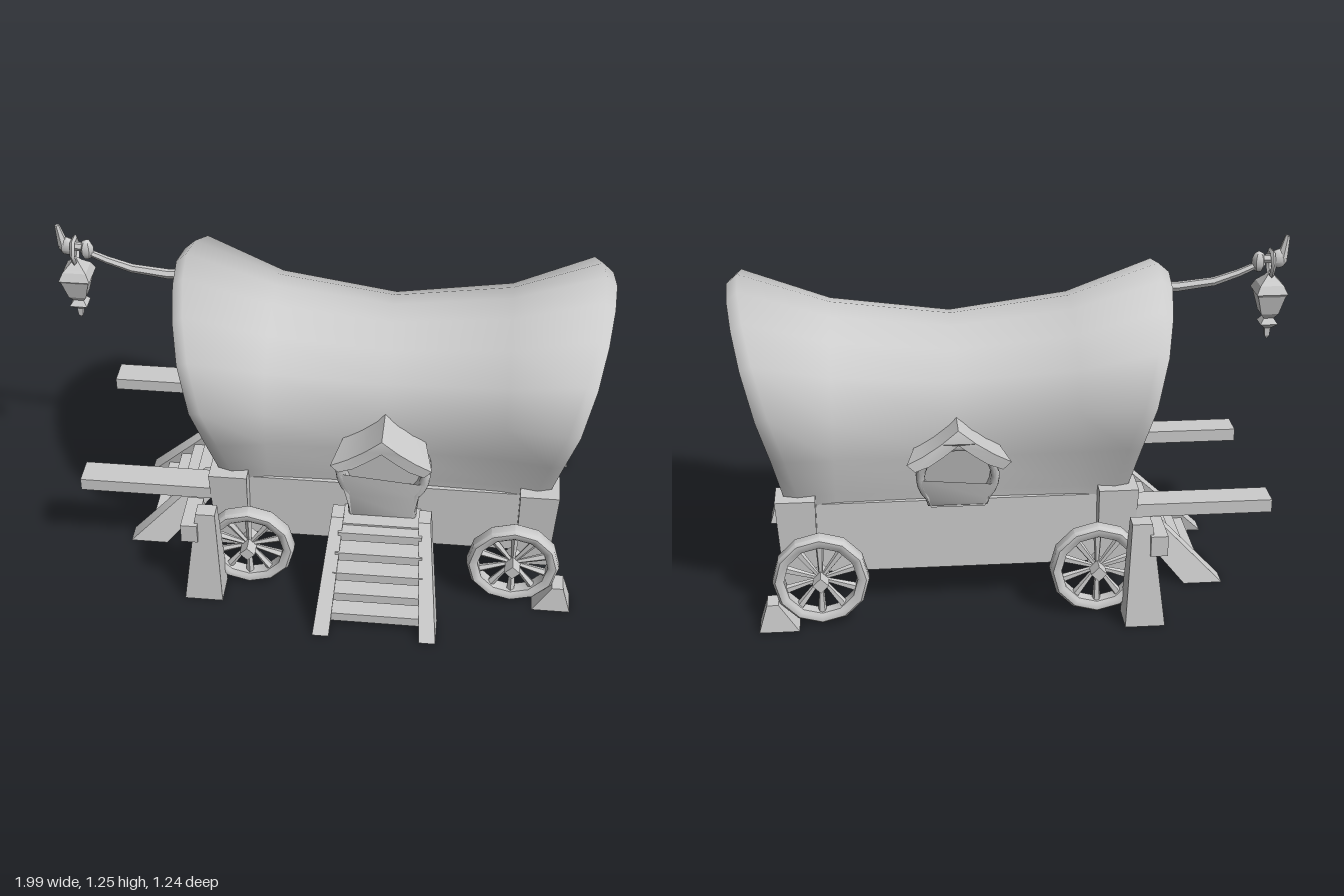
import * as THREE from 'three';
import { toCreasedNormals } from 'three/addons/utils/BufferGeometryUtils.js';

const CX = 0.215;   // middle of the wagon body along x
const CZ = -0.073;  // middle of the wagon along z

export function createModel() {
  const model = new THREE.Group();
  model.name = 'coveredWagon';
  const wagon = new THREE.Group();
  wagon.name = 'wagon';
  wagon.position.z = CZ;
  model.add(wagon);

  const grey = new THREE.MeshStandardMaterial({ color: 0xcccccc, side: THREE.DoubleSide });
  grey.name = 'plainGrey';

  const add = (name, geo, parent = wagon, crease = 0.8) => {
    const mesh = new THREE.Mesh(toCreasedNormals(geo, crease), grey);
    mesh.name = name;
    parent.add(mesh);
    return mesh;
  };
  const box = (name, x0, x1, y0, y1, z0, z1) =>
    add(name, new THREE.BoxGeometry(x1 - x0, y1 - y0, z1 - z0)
      .translate((x0 + x1) / 2, (y0 + y1) / 2, (z0 + z1) / 2));
  // Sheared, tapered block between two level rectangles [x, y, z, width, depth]
  const taper = (name, lo, hi) => {
    const geo = new THREE.BoxGeometry(1, 1, 1);
    const p = geo.attributes.position;
    for (let i = 0; i < p.count; i++) {
      const e = p.getY(i) < 0 ? lo : hi;
      p.setXYZ(i, e[0] + p.getX(i) * e[3], e[1], e[2] + p.getZ(i) * e[4]);
    }
    return add(name, geo);
  };
  // Skin through rows of points
  const loft = (rows) => {
    const n = rows[0].length, index = [];
    for (let i = 0; i < rows.length - 1; i++) {
      for (let j = 0; j < n - 1; j++) {
        const a = i * n + j, b = a + n;
        index.push(a, b, a + 1, b, b + 1, a + 1);
      }
    }
    const geo = new THREE.BufferGeometry();
    geo.setAttribute('position', new THREE.Float32BufferAttribute(rows.flat(2), 3));
    geo.setIndex(index);
    return geo;
  };

  // Canopy: saddle-shaped cover, thick rounded end hoops and recessed end walls
  const endW = [0.32, 0.335, 0.41, 0.465, 0.4, 0.273, 0.13, 0];
  const midW = [0.29, 0.295, 0.31, 0.32, 0.28, 0.19, 0.09, 0];
  const endY = [0.4, 0.45, 0.62, 0.8, 0.967, 1.073, 1.137, 1.16];
  const lean = (y) => 0.6 + 0.18 * Math.pow((y - 0.4) / 0.72, 1.3);
  const row = (t, xAt, sw = 1, sy = 1) => {
    const half = endY.map((y, i) => {
      const h = 0.4 + (y - 0.4) * THREE.MathUtils.lerp(0.783, 1, t) * sy;
      return [CX + xAt(h), h, THREE.MathUtils.lerp(midW[i], endW[i], t) * sw];
    });
    return [...half, ...half.slice(0, -1).reverse().map(([x, y, z]) => [x, y, -z])];
  };
  const end = (s) => [
    row(1, (y) => s * (lean(y) - 0.05)),
    row(1, (y) => s * lean(y), 0.95, 0.955),
    row(1, (y) => s * (lean(y) - 0.008), 0.88, 0.925),
    row(1, (y) => s * (lean(y) - 0.04), 0.82, 0.9),
    row(1, (y) => s * (lean(y) - 0.09), 0.84, 0.91),
    row(1, (y) => s * (lean(y) - 0.09), 0, 0.91),
  ];
  add('canopy', loft([
    ...end(-1).reverse(),
    row(0.33, () => -0.425), row(0, () => 0), row(0.33, () => 0.425),
    ...end(1),
  ]), wagon, 1.2);

  // Crooked bar across the open end, thicker at both ends
  const bar = [[0.39, 0.735, 0.84], [0.27, 0.737, 0.815], [0.08, 0.737, 0.803], [-0.1, 0.727, 0.795],
    [-0.26, 0.715, 0.795], [-0.39, 0.69, 0.8]];
  add('endBar', loft(bar.map(([z, y0, y1]) => Array.from({ length: 9 }, (_, k) => {
    const a = -k * Math.PI / 4;
    return [0.82 + Math.cos(a) * 0.04, (y0 + y1) / 2 + Math.sin(a) * (y1 - y0) / 2, z];
  })).reverse()), wagon, 1.2);

  // Wagon bed, open below, with round end rails and corner posts
  for (const s of [-1, 1]) box('bedSide', -0.37, 0.8, 0.145, 0.41, s * 0.3 - 0.012, s * 0.3 + 0.012);
  for (const e of [-1, 1]) {
    const x = CX + e * 0.57;
    box('bedEnd', x - 0.01, x + 0.01, 0.145, 0.41, -0.29, 0.29);
    add('endRail', new THREE.CylinderGeometry(0.047, 0.047, 0.56, 8).rotateX(Math.PI / 2)
      .translate(x + e * 0.005, 0.355, 0));
    for (const s of [-1, 1]) {
      taper('cornerPost', [CX + e * 0.555, 0.12, s * 0.305, 0.12, 0.11], [CX + e * 0.565, 0.45, s * 0.31, 0.14, 0.13]);
    }
  }

  // Wheels with spokes and hubs
  const rim = [[0.128, -0.022], [0.138, -0.03], [0.158, -0.03], [0.168, -0.018], [0.168, 0.018],
    [0.158, 0.03], [0.138, 0.03], [0.128, 0.022], [0.128, -0.022]].map((p) => new THREE.Vector2(...p));
  for (const x of [-0.27, 0.7]) {
    for (const s of [-1, 1]) {
      const wheel = new THREE.Group();
      wheel.name = 'wheel';
      wheel.position.set(x, 0.178, s * 0.42);
      wagon.add(wheel);
      add('rim', new THREE.LatheGeometry(rim, 12).rotateX(Math.PI / 2), wheel);
      for (let k = 0; k < 10; k++) {
        add('spoke', new THREE.CylinderGeometry(0.016, 0.008, 0.12, 5)
          .translate(0, 0.08, 0).rotateZ(k * Math.PI / 5), wheel);
      }
      add('hub', new THREE.CylinderGeometry(0.028, 0.028, 0.12, 4).rotateX(Math.PI / 2), wheel);
    }
  }

  for (const s of [-1, 1]) {
    // Wheel chocks, propping posts with pegs, and pulling shafts
    taper('chock', [0.85, 0, s * 0.425, 0.14, 0.1], [0.87, 0.1, s * 0.425, 0.04, 0.075]);
    taper('propPost', [-0.427, 0, s * 0.485, 0.14, 0.12], [-0.412, 0.385, s * 0.485, 0.07, 0.06]);
    box('propPeg', -0.5, -0.44, 0.27, 0.345, s * 0.455 - 0.08, s * 0.455 + 0.08);
    box('shaft', -0.9, -0.38, 0.34, 0.388, s * 0.315 - 0.052, s * 0.315 + 0.052);
  }

  // Front stairs
  for (const s of [-1, 1]) {
    taper('frontStringer', [CX + s * 0.193, 0, 0.63, 0.06, 0.12], [CX + s * 0.158, 0.34, 0.39, 0.045, 0.07]);
  }
  for (let k = 0; k < 5; k++) {
    const y = 0.045 + k * 0.06, z = 0.63 - y * 0.7, w = 0.18 - y * 0.1;
    box('frontStep', CX - w, CX + w, y - 0.018, y + 0.018, z - 0.045, z + 0.035);
  }
  box('doorSill', CX - 0.14, CX + 0.14, 0.275, 0.31, 0.3, 0.42);

  // End stairs
  for (const s of [-1, 1]) {
    taper('endStringer', [-0.69, 0, s * 0.212, 0.14, 0.075], [-0.43, 0.28, s * 0.15, 0.1, 0.065]);
  }
  for (let k = 0; k < 4; k++) {
    const y = 0.045 + k * 0.06, x = -0.69 + y * 0.93, w = 0.2 - y * 0.2;
    box('endStep', x - 0.035, x + 0.035, y - 0.018, y + 0.018, -w, w);
  }

  // Keyhole outline: a round head on straight legs, relative to the head centre
  const keyhole = (Type, r, leg, bottom) => {
    const a = Math.asin(leg / r) + 0.08;
    const shape = new Type();
    shape.moveTo(-leg, bottom);
    shape.lineTo(leg, bottom);
    shape.absarc(0, 0, r, -Math.PI / 2 + a, Math.PI * 1.5 - a, false);
    shape.closePath();
    return shape;
  };
  // Dormer: rounded frame and panel leaning with the wall, and a peaked roof with flared eaves
  const dormer = (name, centreY, r, bottom, roofY, apexZ, eaveZ, slant) => {
    const g = new THREE.Group();
    g.name = name;
    g.position.x = CX;
    wagon.add(g);
    const leaning = (shape, opts, z) => {
      const geo = new THREE.ExtrudeGeometry(shape, { curveSegments: 10, ...opts });
      const p = geo.attributes.position;
      for (let i = 0; i < p.count; i++) p.setZ(i, p.getZ(i) + z + p.getY(i) * slant);
      return geo.translate(0, centreY, 0);
    };
    const frame = keyhole(THREE.Shape, r, r * 0.72, bottom);
    frame.holes.push(keyhole(THREE.Path, r * 0.79, r * 0.58, bottom + 0.012));
    add('frame', leaning(frame, { depth: 0.09, bevelThickness: 0.014, bevelSize: 0.012, bevelOffset: -0.012,
      bevelSegments: 2 }, 0.285), g);
    add('panel', leaning(keyhole(THREE.Shape, r * 0.85, r * 0.62, bottom),
      { depth: 0.03, bevelEnabled: false }, 0.305), g);
    const right = [[0, 0], [0.06, -0.045], [0.12, -0.08], [0.178, -0.105],
      [0.15, -0.135], [0.1, -0.12], [0.05, -0.09], [0, -0.055]];
    const left = right.slice(1, -1).reverse().map(([x, y]) => [-x, y]);
    const roof = new THREE.ExtrudeGeometry(
      new THREE.Shape([...right, ...left].map((p) => new THREE.Vector2(...p))), { depth: 1, bevelEnabled: false });
    const p = roof.attributes.position;
    for (let i = 0; i < p.count; i++) {
      const x = p.getX(i), front = p.getZ(i) > 0.5;
      p.setX(i, front ? x : x * 0.75);
      p.setZ(i, front ? THREE.MathUtils.lerp(apexZ, eaveZ, Math.abs(x) / 0.178) : 0.25);
    }
    add('roof', roof.translate(0, roofY, 0), g);
    return g;
  };
  const door = dormer('door', 0.515, 0.17, -0.215, 0.737, 0.475, 0.49, 0.1);
  add('doorKnob', new THREE.SphereGeometry(0.014, 6, 4).translate(0.095, 0.43, 0.335), door);
  dormer('backWindow', 0.525, 0.145, -0.12, 0.725, 0.435, 0.47, 0.25).rotation.y = Math.PI;

  // Lantern arm with curled tip
  const arm = [[-0.48, 1.075], [-0.6, 1.07], [-0.73, 1.085], [-0.82, 1.115], [-0.9, 1.15]];
  for (let i = 0; i < arm.length - 1; i++) {
    const a = new THREE.Vector2(...arm[i]), b = new THREE.Vector2(...arm[i + 1]);
    const r = 0.02 - i * 0.002;
    add('lanternArm', new THREE.CylinderGeometry(r - 0.002, r, a.distanceTo(b) + 0.01, 6)
      .rotateZ(Math.atan2(b.y - a.y, b.x - a.x) - Math.PI / 2)
      .translate((a.x + b.x) / 2, (a.y + b.y) / 2, 0));
  }
  add('armKnot', new THREE.SphereGeometry(0.033, 6, 5).scale(0.8, 1.2, 0.8).translate(-0.89, 1.155, 0));
  add('armCurl', new THREE.SphereGeometry(0.03, 6, 5).scale(1.1, 1.2, 0.7).translate(-0.962, 1.165, 0));
  add('armBridge', new THREE.CylinderGeometry(0.016, 0.016, 0.08, 6).rotateZ(Math.PI / 2).translate(-0.925, 1.165, 0));
  add('armTip', new THREE.CylinderGeometry(0.009, 0.02, 0.08, 6).rotateZ(0.2).translate(-0.982, 1.21, 0));

  // Hanging lantern and its loop
  const lantern = [[0, 0.86], [0.012, 0.875], [0.015, 0.905], [0.045, 0.925], [0.025, 0.945], [0.045, 0.965],
    [0.07, 1.035], [0.08, 1.045], [0.06, 1.075], [0.025, 1.1], [0, 1.125]].map((p) => new THREE.Vector2(...p));
  add('lantern', new THREE.LatheGeometry(lantern, 4).rotateY(Math.PI / 4).translate(-0.935, 0, 0), wagon, 0.3);
  add('lanternLoop', new THREE.TorusGeometry(0.043, 0.009, 4, 6).rotateY(Math.PI / 2)
    .scale(1, 1.1, 1).translate(-0.935, 1.15, 0));

  return model;
}
